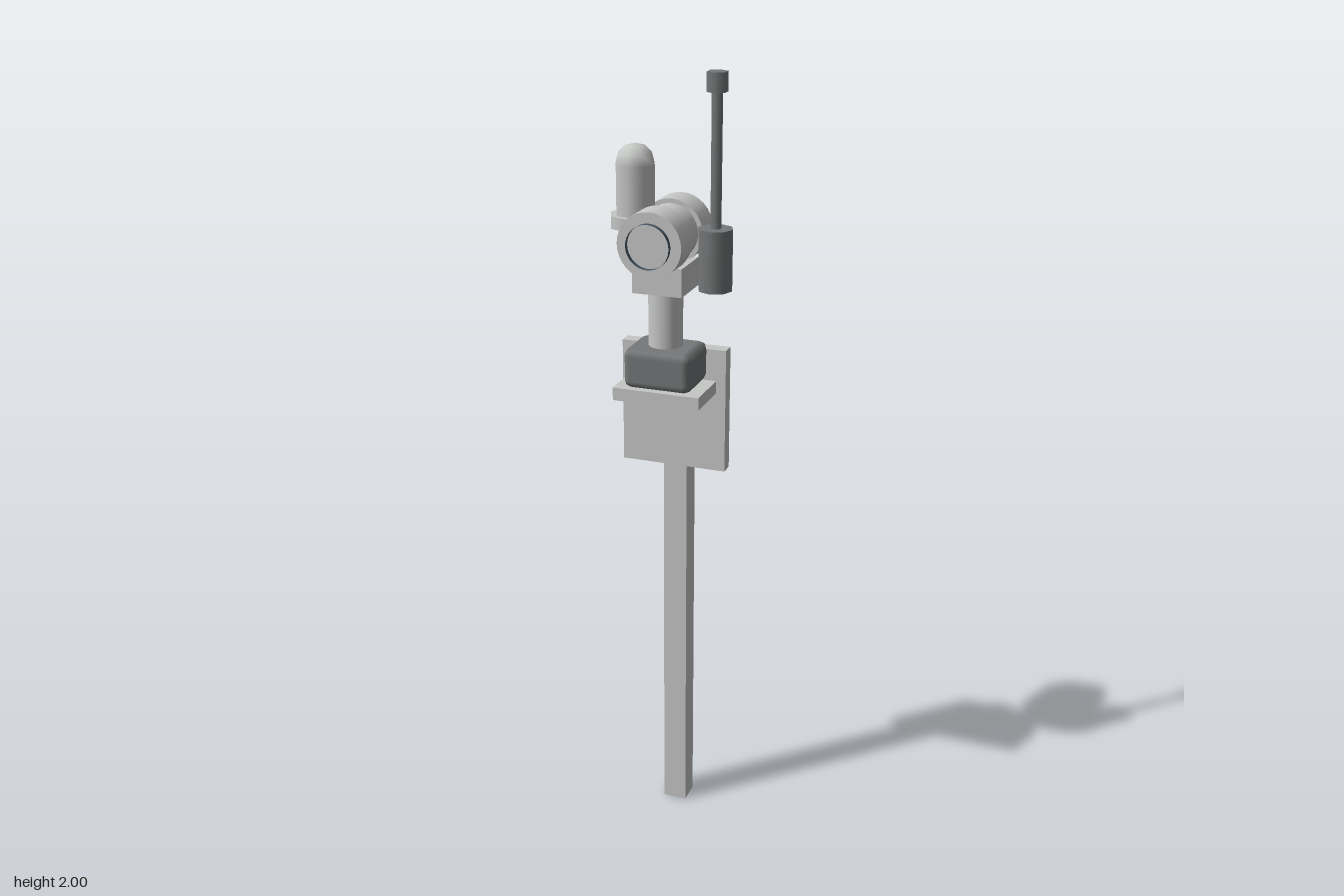
import * as THREE from 'three';
import { RoundedBoxGeometry } from 'three/addons/geometries/RoundedBoxGeometry.js';

export function createModel() {
  const model = new THREE.Group();
  model.name = 'poleMountedSensor';

  const material = (name, color) => {
    const m = new THREE.MeshStandardMaterial({ color });
    m.name = name;
    return m;
  };
  const lightGrey = material('lightGrey', 0xc6c8c6);
  const darkGrey = material('darkGrey', 0x757778);
  const lensBlue = material('lensBlue', 0x475663);
  lensBlue.side = THREE.DoubleSide;

  const add = (name, geometry, mat, x, y, z) => {
    const mesh = new THREE.Mesh(geometry, mat);
    mesh.name = name;
    mesh.position.set(x, y, z);
    model.add(mesh);
    return mesh;
  };
  // Box given by its lower and upper limits
  const box = (name, mat, [x0, y0, z0], [x1, y1, z1]) =>
    add(name, new THREE.BoxGeometry(x1 - x0, y1 - y0, z1 - z0), mat,
      (x0 + x1) / 2, (y0 + y1) / 2, (z0 + z1) / 2);
  // Upright cylinder from y0 to y1
  const upright = (name, mat, r, sides, x, y0, y1) =>
    add(name, new THREE.CylinderGeometry(r, r, y1 - y0, sides), mat, x, (y0 + y1) / 2, 0.001);
  // Cylinder lying along z, from z0 to z1
  const axisX = -0.015, axisY = 1.618;
  const lying = (name, mat, r, z0, z1, open = false) => {
    const g = new THREE.CylinderGeometry(r, r, z1 - z0, 32, 1, open).rotateX(Math.PI / 2);
    return add(name, g, mat, axisX, axisY, (z0 + z1) / 2);
  };

  // Post, back panel and shelf
  box('post', lightGrey, [-0.046, 0, -0.127], [0.016, 1.293, -0.066]);
  box('backPanel', lightGrey, [-0.15, 1.013, -0.09], [0.12, 1.33, -0.055]);
  box('shelf', lightGrey, [-0.125, 1.218, -0.055], [0.095, 1.25, 0.075]);

  // Chamfered base, column and cradle
  add('base', new RoundedBoxGeometry(0.172, 0.1, 0.144, 1, 0.02), darkGrey, axisX, 1.3, 0.002);
  upright('column', lightGrey, 0.042, 24, axisX, 1.35, 1.49);
  box('cradle', lightGrey, [-0.077, 1.488, -0.058], [0.047, 1.557, 0.062]);

  // Sensor head: two drums on a narrower neck, with an open lens ring
  lying('frontDrum', lightGrey, 0.079, 0.038, 0.112);
  lying('rearDrum', lightGrey, 0.079, -0.11, -0.036);
  lying('neck', lightGrey, 0.068, -0.036, 0.038);
  lying('lensRing', lensBlue, 0.053, 0.112, 0.125, true);

  // Domed beacon on the right
  const beaconX = -0.09;
  upright('beaconBase', lightGrey, 0.063, 8, beaconX, 1.633, 1.663);
  upright('beaconBody', lightGrey, 0.049, 8, beaconX, 1.663, 1.78);
  add('beaconDome', new THREE.SphereGeometry(0.049, 8, 3, 0, Math.PI * 2, 0, Math.PI / 2),
    lightGrey, beaconX, 1.78, 0.001);

  // Aerial on the left
  const aerialX = 0.109;
  upright('aerialBody', darkGrey, 0.042, 8, aerialX, 1.498, 1.645);
  upright('aerialRod', darkGrey, 0.013, 6, aerialX, 1.645, 1.957);
  upright('aerialCap', darkGrey, 0.025, 6, aerialX, 1.955, 2);

  return model;
}
